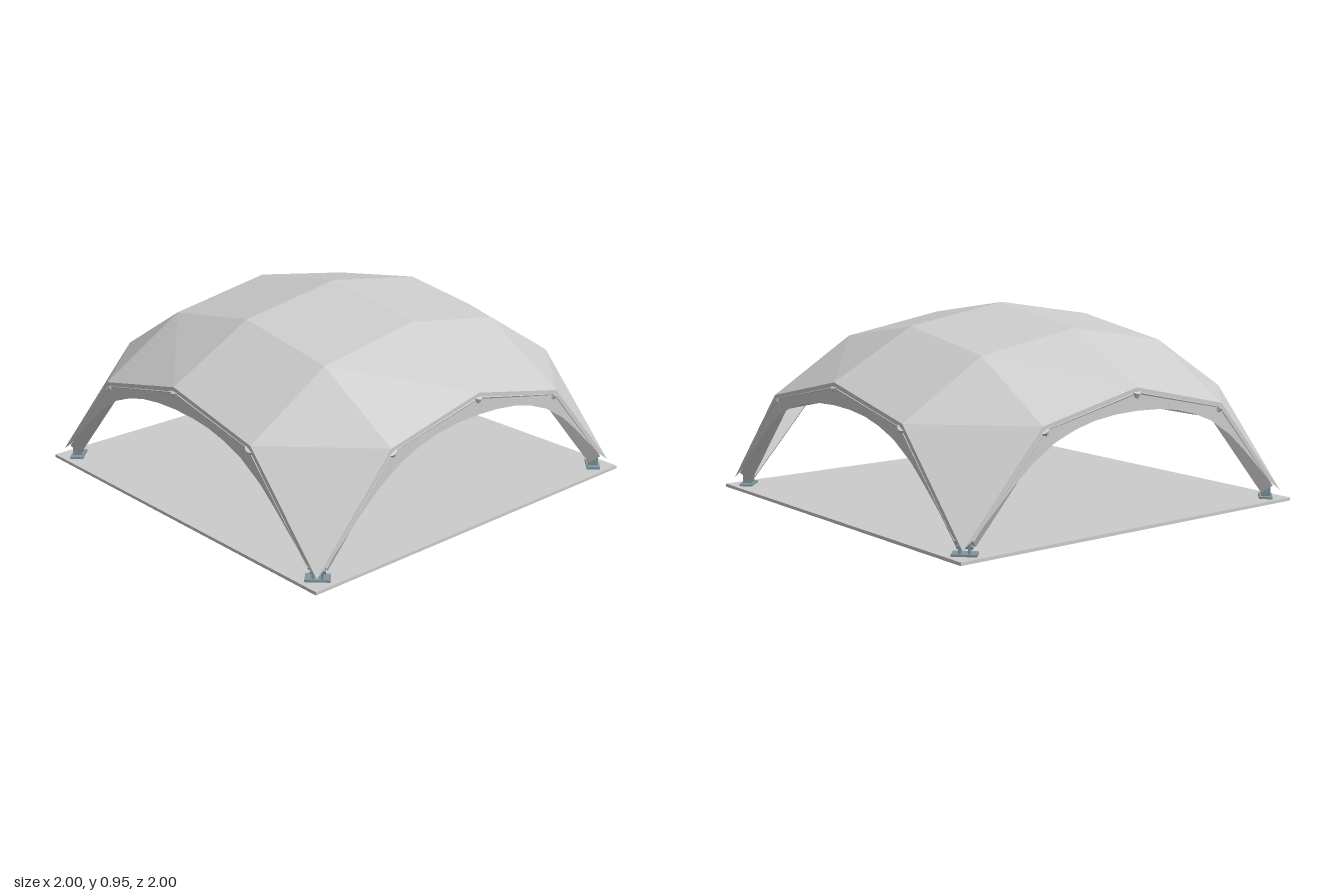
import * as THREE from 'three';

const grey = new THREE.MeshStandardMaterial({ color: 0xcccccc, flatShading: true, side: THREE.DoubleSide });
const steel = new THREE.MeshStandardMaterial({ color: 0x8296a0, flatShading: true });

// Grid lines of the shell, and node heights by distance from the centre
const GRID = [-0.965, -0.54, 0, 0.54, 0.965];
const HEIGHT = [[0.955, 0.87, 0.64], [0.87, 0.78, 0.52], [0.64, 0.52, 0.05]];
const node = (i, j) => new THREE.Vector3(GRID[i], HEIGHT[Math.abs(i - 2)][Math.abs(j - 2)], GRID[j]);

function mesh(name, geometry, material, parent) {
  const m = new THREE.Mesh(geometry, material);
  m.name = name;
  parent.add(m);
  return m;
}

// Two triangles per cell; the diagonal runs across each quadrant
function shellTriangles() {
  const tris = [];
  for (let i = 0; i < 4; i++) for (let j = 0; j < 4; j++) {
    const a = [i, j], b = [i, j + 1], c = [i + 1, j + 1], d = [i + 1, j];
    if ((i < 2) === (j < 2)) tris.push([a, b, d], [b, c, d]);
    else tris.push([a, b, c], [a, c, d]);
  }
  return tris;
}

function createShell(tris) {
  const pts = tris.flat().map(([i, j]) => node(i, j));
  const g = new THREE.BufferGeometry().setFromPoints(pts);
  g.computeVertexNormals();
  return g;
}

// Averaged outward normal at every node
function nodeNormals(tris) {
  const normals = {};
  for (const t of tris) {
    const n = new THREE.Triangle(...t.map(([i, j]) => node(i, j))).getNormal(new THREE.Vector3());
    for (const k of t) (normals[k] ??= new THREE.Vector3()).add(n);
  }
  for (const n of Object.values(normals)) n.normalize();
  return normals;
}

// Box beam under one edge of the shell
function addRib(p, q, up, parent, trimP, trimQ) {
  const dir = q.clone().sub(p).normalize();
  const a = p.clone().addScaledVector(dir, trimP);
  const b = q.clone().addScaledVector(dir, -trimQ);
  const side = dir.clone().cross(up).normalize();
  const top = side.clone().cross(dir).normalize();
  const rib = mesh('rib', new THREE.BoxGeometry(a.distanceTo(b), 0.065, 0.028), grey, parent);
  rib.quaternion.setFromRotationMatrix(new THREE.Matrix4().makeBasis(dir, top, side));
  rib.position.copy(a).add(b).multiplyScalar(0.5);
}

function createFrame(tris) {
  const frame = new THREE.Group();
  frame.name = 'ribFrame';
  const normals = nodeNormals(tris);
  const inset = ([i, j]) => node(i, j).addScaledVector(normals[[i, j]], -0.05);
  const isCorner = ([i, j]) => i % 4 === 0 && j % 4 === 0;
  const done = new Set();
  for (const t of tris) for (let k = 0; k < 3; k++) {
    const ends = [t[k], t[(k + 1) % 3]].sort((a, b) => a[0] - b[0] || a[1] - b[1]);
    const key = ends.join('|');
    if (done.has(key)) continue;
    done.add(key);
    const [p, q] = ends;
    addRib(inset(p), inset(q), normals[p].clone().add(normals[q]), frame,
      isCorner(p) ? 0.06 : 0.02, isCorner(q) ? 0.06 : 0.02);
  }
  // Hubs where the ribs meet
  for (let i = 0; i < 5; i++) for (let j = 0; j < 5; j++) {
    if (isCorner([i, j])) continue;
    const hub = mesh('ribHub', new THREE.CylinderGeometry(0.026, 0.026, 0.065, 12), grey, frame);
    hub.position.copy(inset([i, j]));
    hub.quaternion.setFromUnitVectors(new THREE.Vector3(0, 1, 0), normals[[i, j]]);
  }
  return frame;
}

// Flat arch panel hanging from one open edge of the shell
function createValance() {
  const half = [[0, 0.535], [0.13, 0.53], [0.25, 0.515], [0.36, 0.487], [0.47, 0.445], [0.6, 0.365],
    [0.7, 0.28], [0.8, 0.187], [0.9, 0.095]];
  const s = new THREE.Shape();
  s.moveTo(-0.965, 0.05);
  s.lineTo(-0.54, 0.52);
  s.lineTo(0, 0.64);
  s.lineTo(0.54, 0.52);
  s.lineTo(0.965, 0.05);
  for (const [x, y] of [...half].reverse()) s.lineTo(x, y);
  for (const [x, y] of half.slice(1)) s.lineTo(-x, y);
  return new THREE.ShapeGeometry(s);
}

// Steel foot: pad, two cheeks and a pin, built facing +z
function createFoot() {
  const foot = new THREE.Group();
  foot.name = 'foot';
  mesh('footPad', new THREE.BoxGeometry(0.11, 0.01, 0.065), steel, foot).position.y = 0.02;
  for (const s of [-1, 1]) {
    mesh('footCheek', new THREE.BoxGeometry(0.01, 0.045, 0.045), steel, foot).position.set(s * 0.02, 0.045, 0);
  }
  const pin = mesh('footPin', new THREE.CylinderGeometry(0.009, 0.009, 0.07, 10), steel, foot);
  pin.rotation.z = Math.PI / 2;
  pin.position.y = 0.05;
  return foot;
}

export function createModel() {
  const model = new THREE.Group();
  model.name = 'canopyPavilion';
  const tris = shellTriangles();

  mesh('floorSlab', new THREE.BoxGeometry(2, 0.015, 2), grey, model).position.y = 0.0075;
  mesh('roofShell', createShell(tris), grey, model);
  model.add(createFrame(tris));

  const valance = createValance();
  for (let k = 0; k < 4; k++) {
    const side = new THREE.Group();
    side.name = 'side';
    side.rotation.y = k * Math.PI / 2;
    mesh('archValance', valance, grey, side).position.z = 0.965;
    const foot = createFoot();
    foot.position.set(0.915, 0, 0.915);
    foot.rotation.y = Math.PI / 4;
    side.add(foot);
    model.add(side);
  }
  return model;
}
